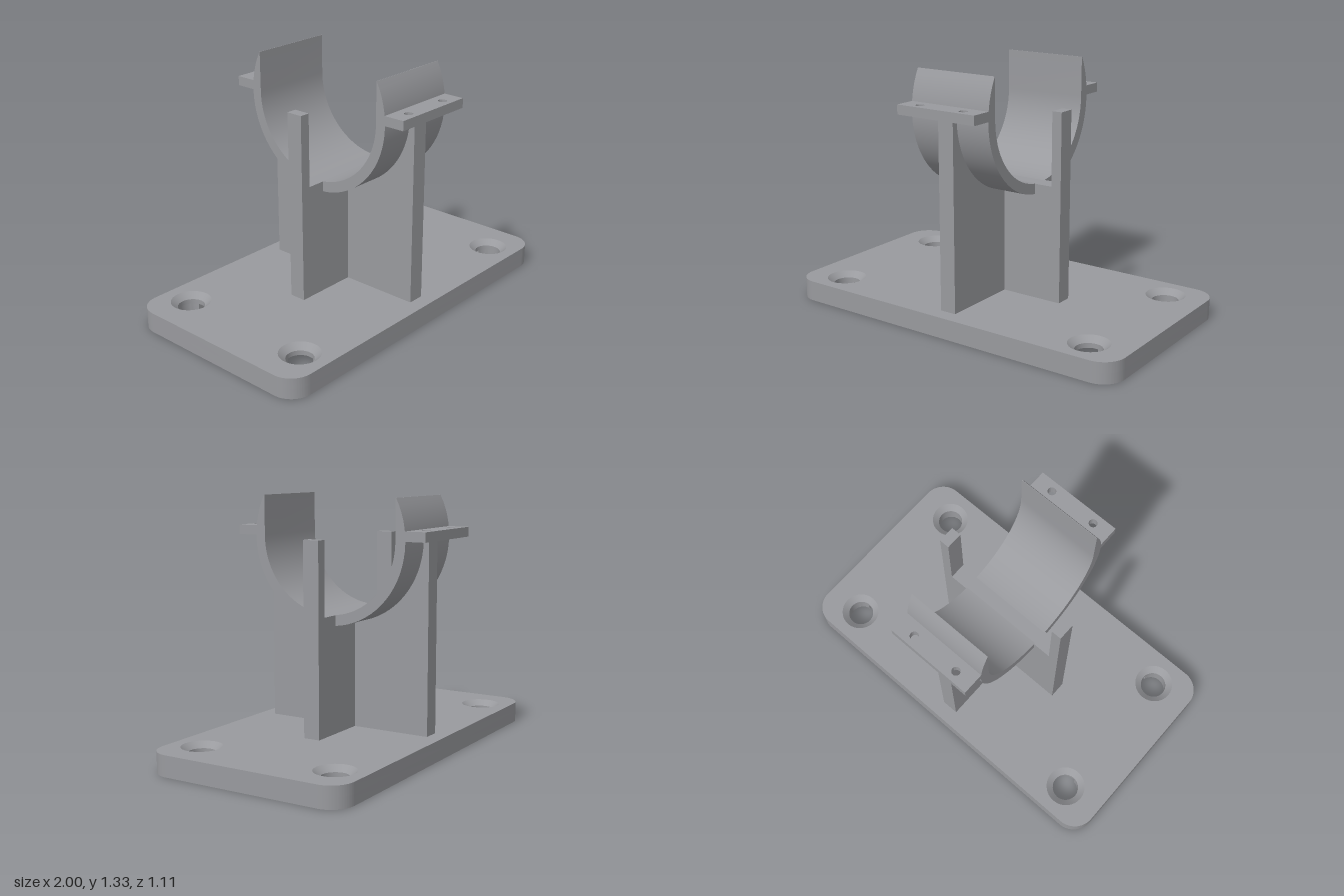
import * as THREE from 'three';
import { toCreasedNormals } from 'three/addons/utils/BufferGeometryUtils.js';

const BASE_H = 0.11, FLOOR_Y = 0.055, AXIS_Y = 1.115, INNER_R = 0.39, OUTER_R = 0.445;
const SCREW_X = 0.78, SCREW_Z = 0.39, SCREW_R = 0.07, SINK_R = 0.105;

// Extrude a shape centred on its depth axis, keeping sharp edges crisp
function slab(shape, depth, curveSegments = 24) {
  const g = new THREE.ExtrudeGeometry(shape, { depth, bevelEnabled: false, curveSegments });
  g.translate(0, 0, -depth / 2);
  return toCreasedNormals(g, Math.PI / 5);
}

// Lay a slab flat between two heights
function flatSlab(shape, y0, y1) {
  return slab(shape, y1 - y0, 16).rotateX(-Math.PI / 2).translate(0, (y0 + y1) / 2, 0);
}

function addHole(shape, x, y, r) {
  const hole = new THREE.Path();
  hole.absarc(x, y, r, 0, Math.PI * 2, true);
  shape.holes.push(hole);
}

function polygon(points) {
  return new THREE.Shape(points.map(([x, y]) => new THREE.Vector2(x, y)));
}

// Rectangle whose corners are arcs about (±cx, ±cy), from angle a0 to a1 in the first quadrant
function arcCornered(path, cx, cy, r, a0, a1) {
  path.absarc(cx, cy, r, a0, a1);
  path.absarc(-cx, cy, r, Math.PI - a1, Math.PI - a0);
  path.absarc(-cx, -cy, r, Math.PI + a0, Math.PI + a1);
  path.absarc(cx, -cy, r, -a1, -a0);
  path.closePath();
  return path;
}

const baseOutline = () => arcCornered(new THREE.Shape(), 0.88, 0.435, 0.12, 0, Math.PI / 2);

export function createModel() {
  const group = new THREE.Group();
  group.name = 'cradleStand';
  const grey = new THREE.MeshStandardMaterial({ color: 0x999a9e });
  grey.name = 'grey';
  const add = (name, geometry) => {
    const mesh = new THREE.Mesh(geometry, grey);
    mesh.name = name;
    group.add(mesh);
    return mesh;
  };

  // Base plate with four screw holes
  const screws = [];
  for (const sx of [-1, 1]) for (const sz of [-1, 1]) screws.push([sx * SCREW_X, sz * SCREW_Z]);
  const plate = baseOutline();
  screws.forEach(([x, z]) => addHole(plate, x, z, SINK_R));
  add('basePlate', flatSlab(plate, FLOOR_Y, BASE_H));

  // Rim around the hollow underside, with the screw holes cutting into its corners
  const hollowX = 0.79, hollowZ = 0.41;
  const rim = baseOutline();
  rim.holes.push(arcCornered(new THREE.Path(), SCREW_X, SCREW_Z, SCREW_R,
    -Math.acos((hollowX - SCREW_X) / SCREW_R),
    Math.PI - Math.asin((hollowZ - SCREW_Z) / SCREW_R)));
  add('baseRim', flatSlab(rim, 0, FLOOR_Y));

  // Countersunk collars inside the screw holes
  const collarProfile = [[SINK_R, BASE_H], [SCREW_R, 0.08], [SCREW_R, FLOOR_Y], [SINK_R, FLOOR_Y]]
    .map(([r, y]) => new THREE.Vector2(r, y));
  const collar = toCreasedNormals(new THREE.LatheGeometry(collarProfile, 32), Math.PI / 5);
  screws.forEach(([x, z]) => add('countersink', collar).position.set(x, 0, z));

  // Cross plate with two upright side arms
  add('crossPlate', slab(polygon([
    [-0.39, BASE_H], [0.39, BASE_H], [0.39, 1.115], [0.335, 1.115], [0.335, 0.727],
    [-0.335, 0.727], [-0.335, 1.115], [-0.39, 1.115],
  ]), 0.09));

  // Lengthwise rib, scooped out beneath the cradle
  const rib = polygon([[-0.475, BASE_H], [0.475, BASE_H], [0.475, AXIS_Y]]);
  rib.lineTo(0.44, AXIS_Y);
  rib.absarc(0, AXIS_Y, 0.44, 0, Math.PI, true);
  rib.lineTo(-0.475, AXIS_Y);
  rib.closePath();
  add('centreRib', slab(rib, 0.09).rotateY(Math.PI / 2));

  // Curved cradle: straight inner lips, outer arc tapering to thin tips
  const tipY = 1.325, tip = Math.asin((tipY - AXIS_Y) / OUTER_R);
  const cradle = new THREE.Shape();
  cradle.moveTo(-INNER_R, tipY);
  cradle.lineTo(-INNER_R, AXIS_Y);
  cradle.absarc(0, AXIS_Y, INNER_R, Math.PI, Math.PI * 2);
  cradle.lineTo(INNER_R, tipY);
  cradle.absarc(0, AXIS_Y, OUTER_R, tip, Math.PI - tip, true);
  cradle.closePath();
  add('cradle', slab(cradle, 0.47).rotateY(Math.PI / 2));

  // Tabs with two small holes, one on each side of the cradle
  for (const side of [-1, 1]) {
    const tab = polygon([[-0.235, -0.065], [0.235, -0.065], [0.235, 0.065], [-0.235, 0.065]]);
    for (const x of [-0.133, 0.133]) addHole(tab, x, -side * 0.015, 0.022);
    add('tab', flatSlab(tab, 1.115, 1.165)).position.z = side * 0.49;
  }
  return group;
}
